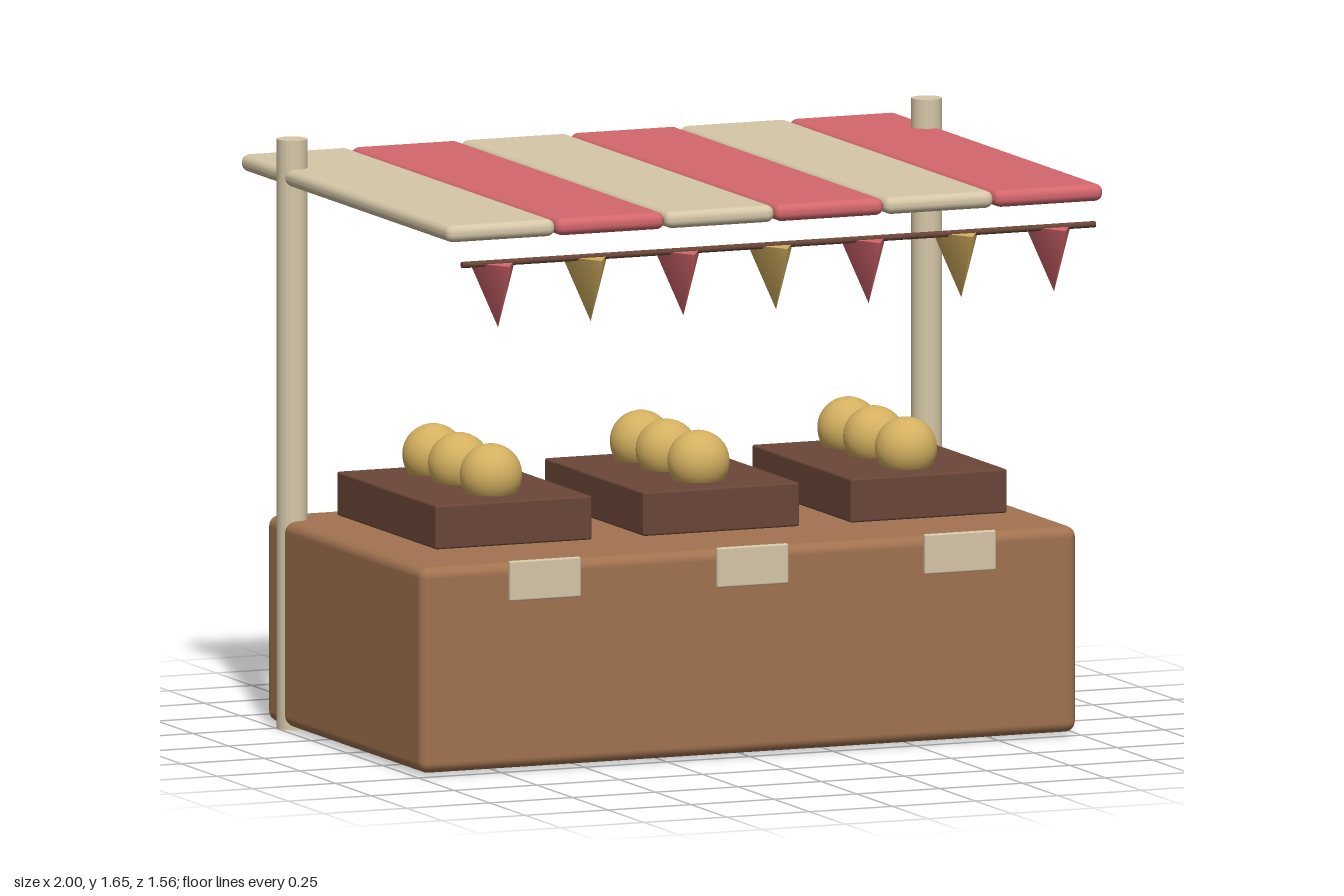
import * as THREE from 'three';
import { RoundedBoxGeometry } from 'three/addons/geometries/RoundedBoxGeometry.js';

const material = (name, color) => {
  const m = new THREE.MeshStandardMaterial({ color });
  m.name = name;
  return m;
};

export function createModel() {
  const wood = material('counter wood', 0xa27350);
  const darkWood = material('dark wood', 0x6b4638);
  const cream = material('cream', 0xd6c7a8);
  const red = material('red', 0xd4676d);
  const gold = material('gold', 0xd4b060);

  const stall = new THREE.Group();
  stall.name = 'marketStall';

  const add = (name, geometry, mat, x, y, z, parent = stall) => {
    const mesh = new THREE.Mesh(geometry, mat);
    mesh.name = name;
    mesh.position.set(x, y, z);
    parent.add(mesh);
    return mesh;
  };

  // Counter
  add('counter', new RoundedBoxGeometry(1.98, 0.577, 1.096, 3, 0.03), wood, 0, 0.297, -0.046);

  // Rear posts, sunk into the counter's ends
  const postGeometry = new THREE.CylinderGeometry(0.043, 0.043, 1.652, 16);
  for (const side of [-1, 1]) {
    add(side > 0 ? 'leftPost' : 'rightPost', postGeometry, cream, side * 0.957, 0.826, -0.485);
  }

  // Striped awning
  const awning = new THREE.Group();
  awning.name = 'awning';
  stall.add(awning);
  const stripeGeometry = new RoundedBoxGeometry(0.327, 0.048, 1.466, 4, 0.022);
  for (let i = 0; i < 6; i++) {
    add('awningStripe', stripeGeometry, i % 2 ? red : cream, (i - 2.5) * 0.3305, 1.547, -0.046, awning);
  }

  // Bunting: a cord with three-sided pennants hanging point down
  const bunting = new THREE.Group();
  bunting.name = 'bunting';
  stall.add(bunting);
  const cord = add('cord', new THREE.CylinderGeometry(0.009, 0.009, 1.91, 8), darkWood, 0, 1.463, 0.7, bunting);
  cord.rotation.z = Math.PI / 2;
  const pennantGeometry = new THREE.ConeGeometry(0.079, 0.18, 3).rotateZ(Math.PI);
  for (let i = 0; i < 7; i++) {
    add('pennant', pennantGeometry, i % 2 ? gold : red, (i - 3) * 0.2795 - 0.007, 1.372, 0.7, bunting);
  }

  // Crates of fruit, each with a price plate on the counter front
  const crateGeometry = new RoundedBoxGeometry(0.472, 0.123, 0.694, 2, 0.006);
  const fruitGeometry = new THREE.SphereGeometry(0.087, 24, 16);
  const plateGeometry = new RoundedBoxGeometry(0.215, 0.112, 0.016, 2, 0.005);
  for (const x of [-0.626, 0, 0.626]) {
    const display = new THREE.Group();
    display.name = 'fruitDisplay';
    display.position.x = x;
    stall.add(display);
    add('crate', crateGeometry, darkWood, 0, 0.665, -0.046, display);
    for (const z of [0.14, -0.083, -0.264]) {
      add('fruit', fruitGeometry, gold, 0, 0.778, z, display);
    }
    add('pricePlate', plateGeometry, cream, 0, 0.538, 0.516, display);
  }

  return stall;
}
